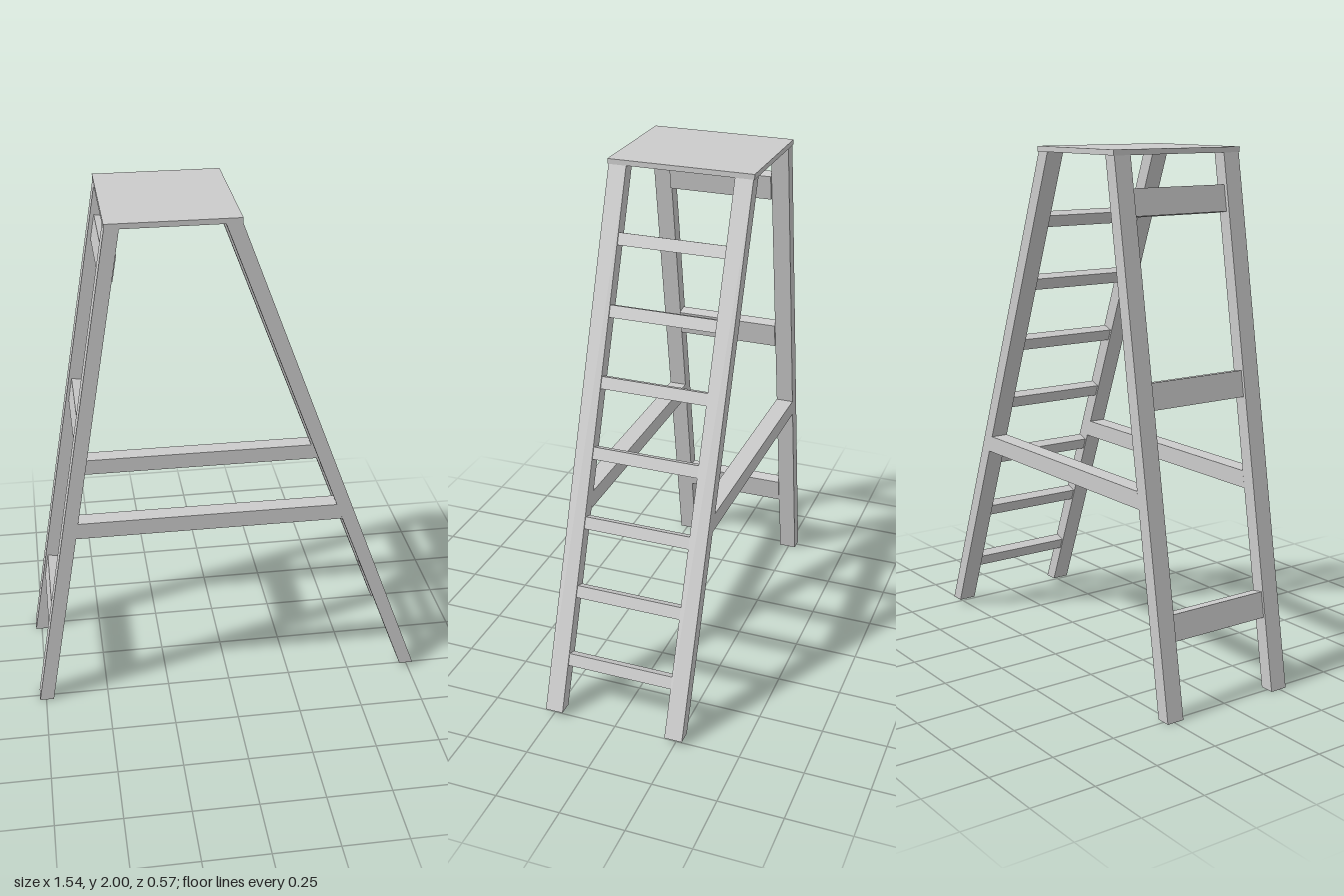
import * as THREE from 'three';

const material = new THREE.MeshStandardMaterial({ color: 0xcccccc, flatShading: true });
const LEG_IN = 0.21, LEG_OUT = 0.28;

export function createModel() {
  const group = new THREE.Group();
  group.name = 'stepladder';

  function add(name, geometry, x = 0, y = 0, z = 0, tilt = 0) {
    const mesh = new THREE.Mesh(geometry, material);
    mesh.name = name;
    mesh.position.set(x, y, z);
    mesh.rotation.z = tilt;
    group.add(mesh);
  }

  // Side profile extruded through the leg thickness, once for each side
  function addPair(name, points) {
    const shape = new THREE.Shape(points.map(([x, y]) => new THREE.Vector2(x, y)));
    const geometry = new THREE.ExtrudeGeometry(shape, { depth: LEG_OUT - LEG_IN, bevelEnabled: false });
    add(name + 'Left', geometry, 0, 0, LEG_IN);
    add(name + 'Right', geometry, 0, 0, -LEG_OUT);
  }

  // Top platform
  add('platform', new THREE.BoxGeometry(0.484, 0.02, 0.568), -0.202, 1.99, 0);

  // Legs: gently sloped support side and wider sloped climbing side
  addPair('supportLeg', [[-0.775, 0], [-0.72, 0], [-0.39, 1.98], [-0.443, 1.98]]);
  addPair('stepLeg', [[0.715, 0.02], [0.77, 0.02], [0.04, 1.98], [-0.02, 1.98]]);

  // Horizontal braces joining the legs
  addPair('brace', [[-0.595, 0.75], [0.441, 0.75], [0.417, 0.815], [-0.584, 0.815]]);

  // Seven steps, tilted with the climbing legs
  const stepTilt = Math.atan(0.373);
  const step = new THREE.BoxGeometry(0.042, 0.047, LEG_IN * 2);
  for (let i = 0; i < 7; i++) {
    const y = 0.211 + i * 0.2517;
    add('step' + (i + 1), step, 0.672 - 0.373 * (y - 0.211), y, 0, stepTilt);
  }

  // Three cross boards between the support legs
  const boardTilt = -Math.atan(0.167);
  const board = new THREE.BoxGeometry(0.05, 0.098, LEG_IN * 2);
  [[-0.687, 0.322], [-0.547, 1.14], [-0.431, 1.813]].forEach(([x, y], i) =>
    add('crossBoard' + (i + 1), board, x, y, 0, boardTilt));

  return group;
}
